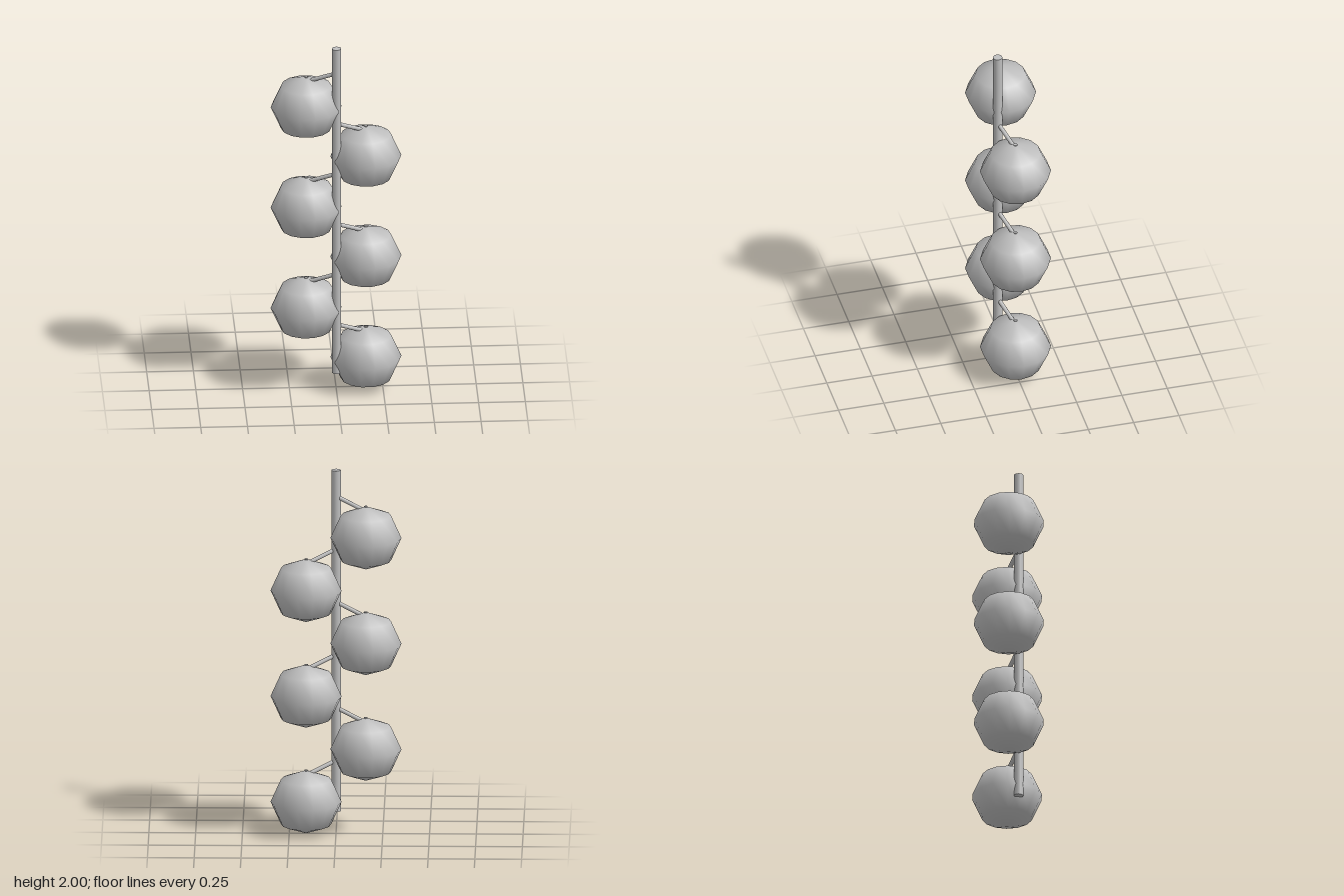
import * as THREE from 'three';

const grey = new THREE.MeshStandardMaterial({ color: 0xbfbfbf });
grey.name = 'plain grey';

function add(parent, name, geometry) {
  const mesh = new THREE.Mesh(geometry, grey);
  mesh.name = name;
  parent.add(mesh);
  return mesh;
}

// Cylinder running between two points
function rod(parent, name, a, b, radius, sides) {
  const dir = b.clone().sub(a);
  const mesh = add(parent, name, new THREE.CylinderGeometry(radius, radius, dir.length(), sides));
  mesh.position.copy(a).add(b).multiplyScalar(0.5);
  mesh.quaternion.setFromUnitVectors(new THREE.Vector3(0, 1, 0), dir.normalize());
  return mesh;
}

export function createModel() {
  const group = new THREE.Group();
  group.name = 'hangingBuds';
  const stemZ = 0.057;

  // Upright main stem
  rod(group, 'mainStem', new THREE.Vector3(0, 0.11, stemZ), new THREE.Vector3(0, 2, stemZ), 0.025, 16);

  // Buds alternating left and right up the stem, each on a sloping stalk
  for (let i = 0; i < 6; i++) {
    const side = i % 2 === 0 ? 1 : -1;
    const budGroup = new THREE.Group();
    budGroup.name = 'bud' + (i + 1);
    budGroup.position.y = 0.175 + i * 0.293;

    // Slightly squashed faceted ball
    const bud = add(budGroup, 'budBall', new THREE.SphereGeometry(0.19, 14, 4).scale(1, 0.921, 1));
    bud.position.x = side * 0.16;

    // Stalk from the stem down into the bud
    rod(budGroup, 'stalk', new THREE.Vector3(0, 0.215, stemZ),
      new THREE.Vector3(side * 0.16, 0.147, 0), 0.0115, 10);

    // Tiny flat tip on the crown of the bud
    rod(budGroup, 'budTip', new THREE.Vector3(side * 0.16, 0.15, 0),
      new THREE.Vector3(side * 0.16, 0.176, 0), 0.01, 10);

    group.add(budGroup);
  }
  return group;
}
